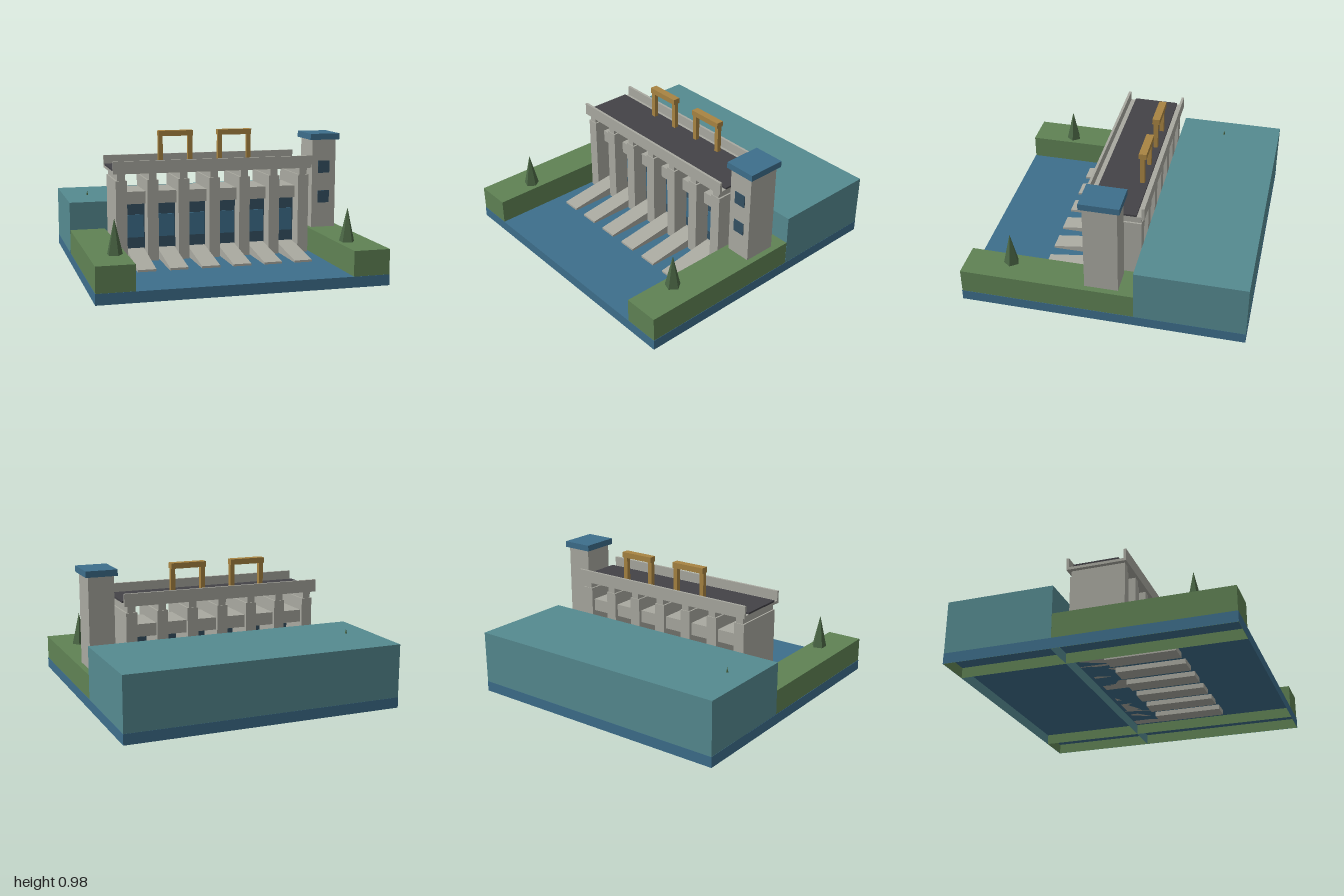
import * as THREE from 'three';

const material = (name, color, side = THREE.FrontSide) => {
  const m = new THREE.MeshStandardMaterial({ color, side });
  m.name = name;
  return m;
};

export function createModel() {
  const concrete = material('concrete', 0xa9a9a0);
  const grass = material('grass', 0x5f8254, THREE.DoubleSide);
  const lake = material('lake water', 0x558a90, THREE.DoubleSide);
  const blue = material('river blue', 0x3d6e8b, THREE.DoubleSide);
  const navy = material('navy', 0x345062);
  const asphalt = material('asphalt', 0x434247);
  const ochre = material('ochre', 0xa88442);
  const pine = material('pine', 0x4b6745);
  pine.flatShading = true;

  const model = new THREE.Group();
  model.name = 'dam';

  const add = (name, geometry, mat, parent = model) => {
    const mesh = new THREE.Mesh(geometry, mat);
    mesh.name = name;
    parent.add(mesh);
    return mesh;
  };
  const group = (name) => {
    const g = new THREE.Group();
    g.name = name;
    model.add(g);
    return g;
  };
  // Box given by its limits on each axis
  const block = (name, [x0, x1], [y0, y1], [z0, z1], mat, parent) => {
    const g = new THREE.BoxGeometry(x1 - x0, y1 - y0, z1 - z0);
    g.translate((x0 + x1) / 2, (y0 + y1) / 2, (z0 + z1) / 2);
    return add(name, g, mat, parent);
  };
  // The same box without its underside
  const shell = (...args) => {
    const g = block(...args).geometry;
    const index = Array.from(g.index.array);
    index.splice(18, 6);
    g.setIndex(index);
    g.clearGroups();
  };

  // Water and land; tiny insets keep the shared outer walls apart
  shell('river', [-1, 1], [0, 0.075], [-1, 1], blue);
  shell('reservoir', [-0.999, 0.999], [0, 0.455], [-0.999, -0.228], lake);
  for (const s of [-1, 1]) {
    const xs = [0.74 * s, 0.998 * s].sort((a, b) => a - b);
    shell('bank', xs, [0, 0.25], [-0.998, 0.998], grass);
  }

  // Piers with narrower heads
  const step = 0.227;
  const piers = group('piers');
  for (let i = -3; i <= 3; i++) {
    const x = i * step;
    block('pier', [x - 0.04, x + 0.04], [0.075, 0.66], [-0.225, 0.175], concrete, piers);
    block('pierHead', [x - 0.028, x + 0.028], [0.66, 0.71], [-0.22, 0.17], concrete, piers);
  }

  // Spillway side profile, drawn as (z, y)
  const profile = new THREE.Shape([
    [0, 0.04], [0.5, 0.04], [0.5, 0.09], [0.08, 0.15], [0, 0.15],
  ].map(([z, y]) => new THREE.Vector2(-z, y)).reverse());
  const spillway = new THREE.ExtrudeGeometry(profile, { depth: 0.13, bevelEnabled: false });
  spillway.translate(0, 0, -0.065).rotateY(Math.PI / 2);

  // Bays: sill, gate, beam and spillway between neighbouring piers
  for (let i = 0; i < 6; i++) {
    const x = (i - 2.5) * step;
    const bay = group('bay');
    const wide = [x - 0.0735, x + 0.0735];
    block('sill', wide, [0.075, 0.15], [-0.2, 0.06], concrete, bay);
    block('gate', wide, [0.15, 0.48], [0.02, 0.06], navy, bay);
    block('gatePanel', [x - 0.065, x + 0.065], [0.23, 0.395], [0.06, 0.068], blue, bay);
    block('beam', wide, [0.48, 0.57], [-0.2, 0.1], concrete, bay);
    add('spillway', spillway, concrete, bay).position.x = x;
  }

  // Deck, road and parapets
  const length = [-0.74, 0.74];
  block('deck', length, [0.71, 0.73], [-0.23, 0.172], concrete);
  block('road', length, [0.73, 0.743], [-0.195, 0.135], asphalt);
  block('frontParapet', length, [0.71, 0.8], [0.172, 0.19], concrete);
  block('backParapet', length, [0.71, 0.8], [-0.248, -0.23], concrete);

  // Gantry cranes
  for (const x of [-0.215, 0.241]) {
    const crane = group('gantry');
    for (const s of [-1, 1]) {
      const c = x + s * 0.113;
      block('gantryLeg', [c - 0.016, c + 0.016], [0.74, 0.94], [-0.17, -0.138], ochre, crane);
    }
    block('gantryBeam', [x - 0.13, x + 0.13], [0.94, 0.98], [-0.182, -0.128], ochre, crane);
  }

  // Control tower
  const tower = group('controlTower');
  block('towerShaft', [0.77, 0.955], [0.25, 0.91], [-0.115, 0.12], concrete, tower);
  block('towerRoof', [0.748, 0.976], [0.91, 0.955], [-0.136, 0.14], blue, tower);
  for (const y of [0.435, 0.66]) {
    block('towerWindow', [0.817, 0.906], [y, y + 0.092], [0.12, 0.126], navy, tower);
  }

  // Five-sided conifers
  const cone = new THREE.ConeGeometry(0.055, 0.24, 5).rotateY(Math.PI / 2);
  for (const [x, z] of [[-0.82, 0.68], [0.82, 0.68], [-0.82, -0.57]]) {
    add('tree', cone, pine).position.set(x, 0.37, z);
  }
  return model;
}
